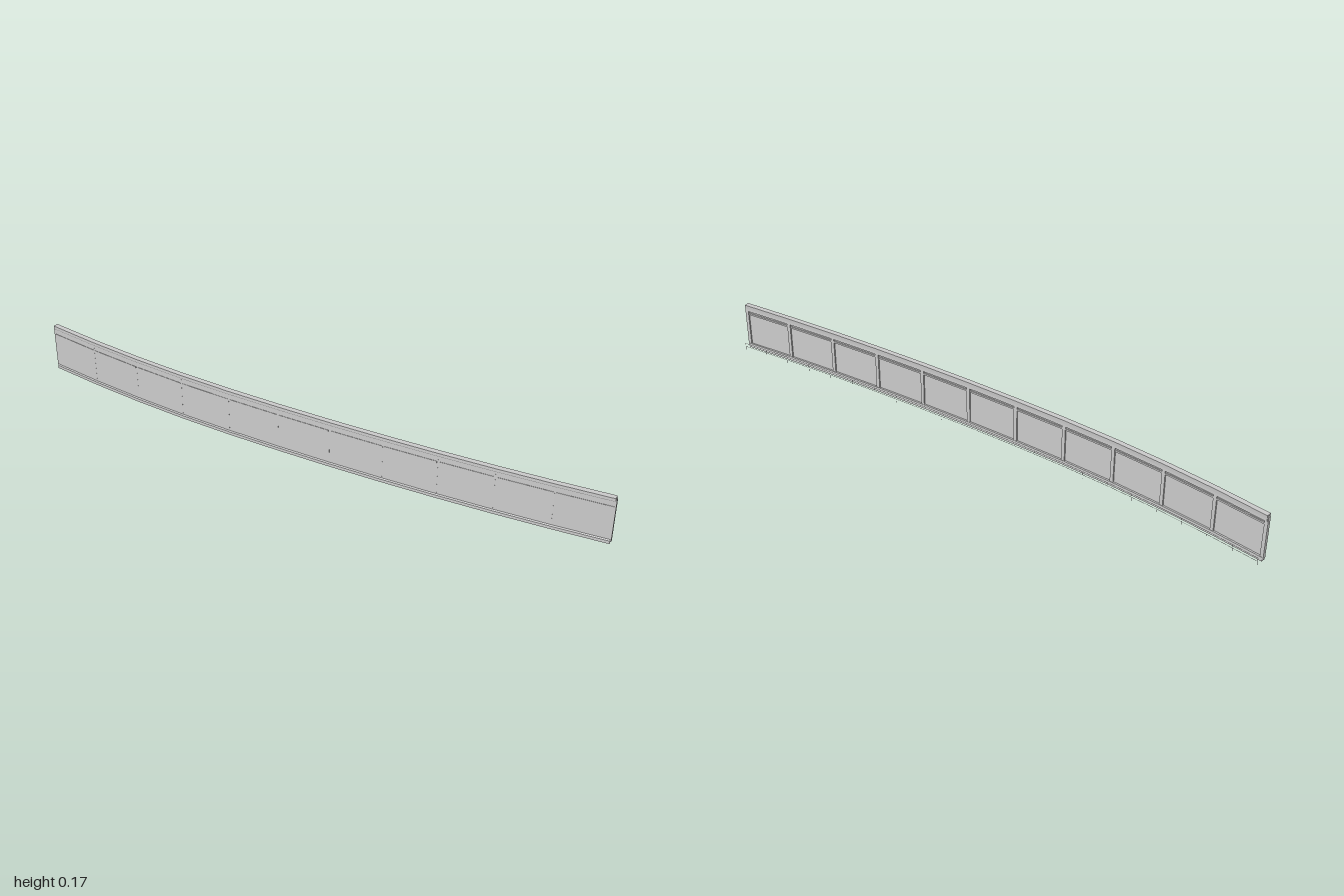
import * as THREE from 'three';

const PANELS = 11;
const PITCH = 2 / PANELS;
const jointX = (i) => -1 + i * PITCH;

// Plan curve of the wall: bowed towards the front, apex left of the middle
const curveZ = (x) => 0.049 - (x < -0.27 ? 0.092 : 0.0465) * (x + 0.27) ** 2;

// Straight facets between the panel joints
function wallZ(x) {
  const i = Math.min(PANELS - 1, Math.max(0, Math.floor((x + 1) / PITCH + 1e-6)));
  const t = (x - jointX(i)) / PITCH;
  return curveZ(jointX(i)) * (1 - t) + curveZ(jointX(i + 1)) * t;
}

// Wall line from x0 to x1, with a point at every joint between
function wallPath(x0, x1) {
  const xs = [x0];
  for (let i = 0; i <= PANELS; i++) {
    if (jointX(i) > x0 + 1e-4 && jointX(i) < x1 - 1e-4) xs.push(jointX(i));
  }
  xs.push(x1);
  return xs.map((x) => new THREE.Vector2(x, wallZ(x)));
}

const rect = (n0, n1, y0, y1) => [[n0, y0], [n1, y0], [n1, y1], [n0, y1]];

// Sweep a convex [offset to front, height] profile along a plan path
function sweep(path, profile) {
  const rings = path.map((p, i) => {
    const a = path[Math.max(0, i - 1)];
    const b = path[Math.min(path.length - 1, i + 1)];
    const d = b.clone().sub(a).normalize();
    return profile.map(([n, y]) => [p.x - d.y * n, y, p.y + d.x * n]);
  });
  const pos = [];
  const tri = (a, b, c) => pos.push(...a, ...b, ...c);
  const m = profile.length;
  for (let i = 0; i < rings.length - 1; i++) {
    for (let j = 0; j < m; j++) {
      const k = (j + 1) % m;
      tri(rings[i][j], rings[i + 1][j], rings[i + 1][k]);
      tri(rings[i][j], rings[i + 1][k], rings[i][k]);
    }
  }
  const first = rings[0];
  const last = rings[rings.length - 1];
  for (let j = 1; j < m - 1; j++) {
    tri(first[0], first[j], first[j + 1]);
    tri(last[0], last[j + 1], last[j]);
  }
  const geo = new THREE.BufferGeometry();
  geo.setAttribute('position', new THREE.Float32BufferAttribute(pos, 3));
  geo.computeVertexNormals();
  return geo;
}

export function createModel() {
  const model = new THREE.Group();
  const grey = new THREE.MeshStandardMaterial({ color: 0xcccccc, flatShading: true });

  const add = (name, x0, x1, profile, parent = model) => {
    const mesh = new THREE.Mesh(sweep(wallPath(x0, x1), profile), grey);
    mesh.name = name;
    parent.add(mesh);
  };
  const group = (name) => {
    const g = new THREE.Group();
    g.name = name;
    model.add(g);
    return g;
  };

  // Continuous rails with a slim chamfer towards the panels
  const E = 0.997;
  add('bottomRail', -E, E, [[-0.007, 0], [0.008, 0], [0.008, 0.011], [0.005, 0.015], [-0.007, 0.015]]);
  add('topRail', -E, E, [[-0.008, 0.157], [0.006, 0.157], [0.008, 0.16], [0.008, 0.17], [-0.009, 0.17]]);
  add('topRailBackLip', -E, E, rect(-0.008, -0.005, 0.147, 0.158));
  add('backStringer', -E, E, rect(-0.005, 0, 0.132, 0.138));

  // Flat panels, each with a slim trim strip on the front
  const panels = group('panels');
  const trims = group('frontTrims');
  for (let i = 0; i < PANELS; i++) {
    add('panel', jointX(i), jointX(i + 1), rect(-0.001, 0.005, 0.008, 0.16), panels);
    add('frontTrim', jointX(i) + 0.004, jointX(i + 1) - 0.004, rect(0.004, 0.0062, 0.132, 0.138), trims);
  }

  // Upright posts on the back at every joint
  const posts = group('backPosts');
  for (let i = 0; i <= PANELS; i++) {
    const x = Math.max(-0.994, Math.min(0.994, jointX(i)));
    add('backPost', x - 0.006, x + 0.006, rect(-0.006, 0.002, 0.005, 0.165), posts);
  }

  // Low wire fence standing behind the wall
  const fence = group('wireFence');
  const w = 0.0004;
  const back = -0.028;
  for (const y of [0.0132, 0.0256]) {
    add('fenceWire', -E, E, rect(back - w, back + w, y - w, y + w), fence);
  }
  for (let i = 0; i <= PANELS * 2; i++) {
    const x = Math.max(-0.996, Math.min(0.996, -1 + (i * PITCH) / 2));
    add('fencePin', x - w, x + w, rect(back - w, back + w, 0, 0.026), fence);
  }
  return model;
}
